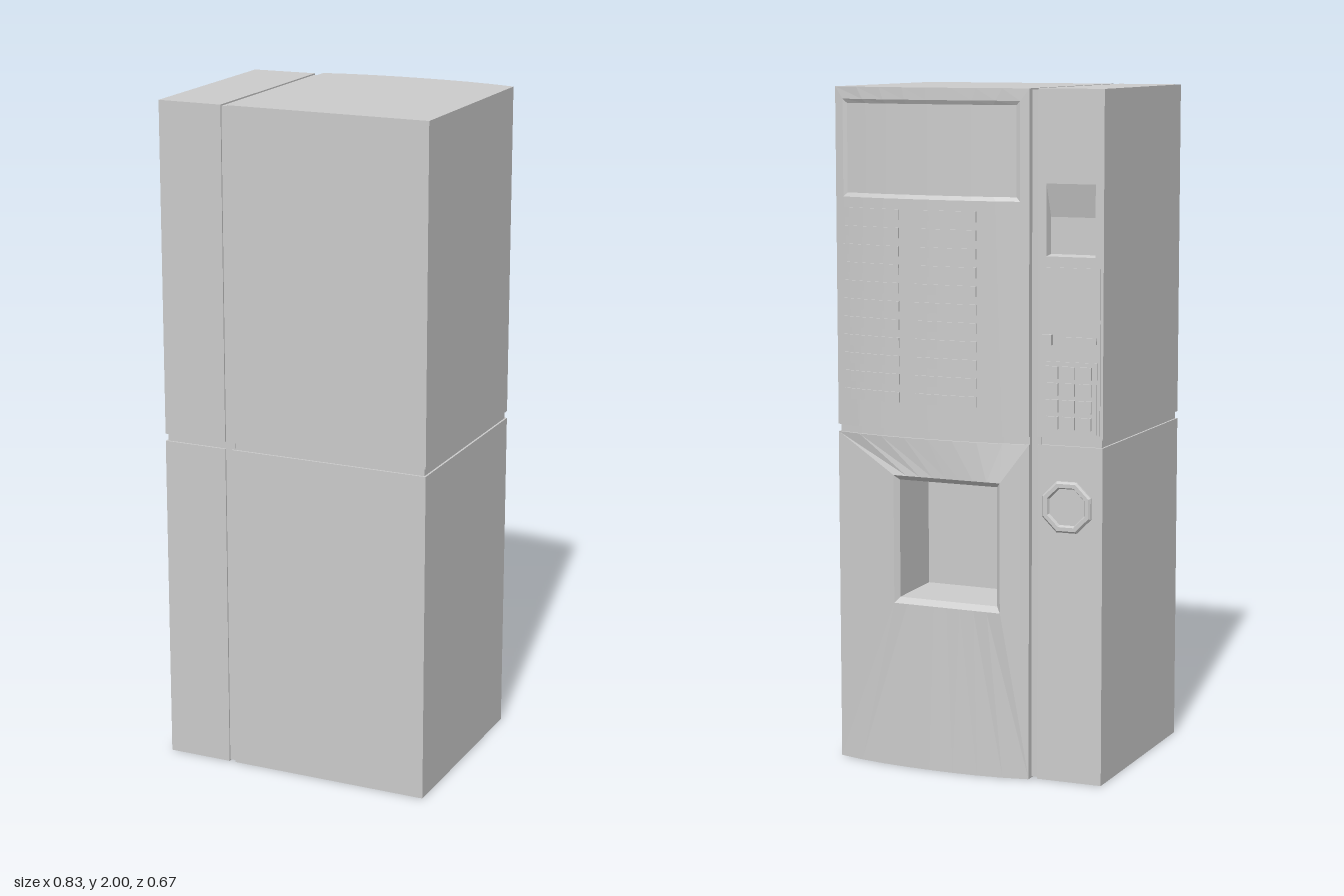
import * as THREE from 'three';

const BACK = 0.337;          // flat rear plane
const N = 8;                 // facets across the curved door
const mat = new THREE.MeshStandardMaterial({ color: 0xcccccc, flatShading: true });

// Door curve (bulges toward -z) and the slightly slanted side column
const doorZ = x => -0.333 + 0.033 * Math.pow(Math.min(1, Math.abs((x - 0.1085) / 0.3065)), 2.4);
const columnZ = x => -0.276 - 0.04 * (x + 0.415);

// Rectangular loop whose depth follows zf(x): bottom edge left to right, then top edge back
function ring(x0, x1, y0, y1, zf) {
  const z = typeof zf === 'function' ? zf : () => zf;
  const pts = [];
  for (let i = 0; i <= N; i++) { const x = x0 + (x1 - x0) * i / N; pts.push([x, y0, z(x)]); }
  for (let i = N; i >= 0; i--) { const x = x0 + (x1 - x0) * i / N; pts.push([x, y1, z(x)]); }
  return pts;
}

// Skin a series of loops running from the back (+z) to the front, capped at both ends
function loft(name, rings) {
  const v = [];
  const quad = (a, b, c, d) => v.push(...a, ...b, ...c, ...a, ...c, ...d);
  const n = 2 * N + 2;
  for (let r = 0; r < rings.length - 1; r++) {
    const a = rings[r], b = rings[r + 1];
    for (let i = 0; i < n; i++) { const j = (i + 1) % n; quad(a[i], b[i], b[j], a[j]); }
  }
  const first = rings[0], last = rings[rings.length - 1];
  for (let i = 0; i < N; i++) {
    const t = n - 1 - i;
    quad(first[i], first[i + 1], first[t - 1], first[t]);
    quad(last[i], last[t], last[t - 1], last[i + 1]);
  }
  const g = new THREE.BufferGeometry();
  g.setAttribute('position', new THREE.Float32BufferAttribute(v, 3));
  g.computeVertexNormals();
  return named(name, g);
}

function named(name, geometry) {
  const m = new THREE.Mesh(geometry, mat);
  m.name = name;
  return m;
}

function box(name, w, h, d, x, y, z) {
  const m = named(name, new THREE.BoxGeometry(w, h, d));
  m.position.set(x, y, z);
  return m;
}

export function createModel() {
  const root = new THREE.Group();
  root.name = 'vendingMachine';
  const xa = -0.198, xb = 0.415, ca = -0.415, cb = -0.218;
  const lowTop = 0.99, upBase = 1.012;

  // Upper cabinet with a bevelled, shallow display recess
  root.add(loft('upperCabinet', [
    ring(xa, xb, upBase, 2, BACK),
    ring(xa, xb, upBase, 2, doorZ),
    ring(-0.172, 0.388, 1.683, 1.965, doorZ),
    ring(-0.160, 0.376, 1.695, 1.953, x => doorZ(x) + 0.007),
  ]));

  // Lower cabinet: curved door blending into a flat frame and the cup bay
  root.add(loft('lowerCabinet', [
    ring(xa, xb, 0, lowTop, BACK),
    ring(xa, xb, 0, lowTop, doorZ),
    ring(-0.120, 0.220, 0.495, 0.877, -0.331),
    ring(-0.106, 0.206, 0.512, 0.863, -0.318),
    ring(-0.106, 0.206, 0.516, 0.863, -0.125),
  ]));

  // Side column: the upper part holds a pocket with a sloping roof
  root.add(loft('upperColumn', [
    ring(ca, cb, upBase, 2, BACK),
    ring(ca, cb, upBase, 2, columnZ),
    ring(-0.390, -0.243, 1.53, 1.735, columnZ),
    ring(-0.386, -0.247, 1.535, 1.64, x => columnZ(x) + 0.025),
  ]));
  root.add(loft('lowerColumn', [
    ring(ca, cb, 0, lowTop, BACK),
    ring(ca, cb, 0, lowTop, columnZ),
  ]));

  // Recessed core seen inside the seams
  root.add(box('verticalSeam', 0.04, 1.992, 0.611, -0.208, 1, 0.0265));
  root.add(loft('doorSeam', [
    ring(xa, xb - 0.006, 0.98, 1.02, BACK - 0.006),
    ring(xa, xb - 0.006, 0.98, 1.02, x => doorZ(x) + 0.008),
  ]));
  root.add(loft('columnSeam', [
    ring(ca + 0.006, cb, 0.98, 1.02, BACK - 0.006),
    ring(ca + 0.006, cb, 0.98, 1.02, x => columnZ(x) + 0.008),
  ]));

  // Two columns of selection bars
  const buttons = new THREE.Group();
  buttons.name = 'selectionButtons';
  for (const [x0, x1] of [[0.197, 0.388], [-0.046, 0.146]]) {
    for (let row = 0; row < 11; row++) {
      const y = 1.638 - row * 0.053;
      buttons.add(loft('selectionButton', [
        ring(x0, x1, y - 0.015, y + 0.015, x => doorZ(x) + 0.008),
        ring(x0, x1, y - 0.015, y + 0.015, x => doorZ(x) - 0.005),
      ]));
    }
  }
  root.add(buttons);

  // Column fittings, in a frame whose +z points out of the slanted face
  const fittings = new THREE.Group();
  fittings.name = 'columnFittings';
  fittings.position.set(-0.315, 0, columnZ(-0.315));
  fittings.rotation.y = Math.PI + 0.04;
  fittings.add(box('paymentPanel', 0.184, 0.475, 0.008, 0, 1.262, 0));
  fittings.add(box('coinButton', 0.028, 0.03, 0.022, -0.064, 1.295, 0.008));
  fittings.add(box('cardSlot', 0.105, 0.018, 0.012, 0.03, 1.295, 0.004));
  fittings.add(box('keypadPlate', 0.168, 0.205, 0.01, 0, 1.13, 0.003));
  for (let r = 0; r < 4; r++)
    for (let c = 0; c < 3; c++)
      fittings.add(box('key', 0.038, 0.036, 0.014, (c - 1) * 0.05, 1.202 - r * 0.048, 0.008));

  // Eight-sided coin return ring with a sunken centre
  const profile = [[0.08, -0.005], [0.08, 0.008], [0.074, 0.014], [0.062, 0.014], [0.057, 0.004], [0, 0.004]]
    .map(p => new THREE.Vector2(...p));
  const coin = named('coinReturn', new THREE.LatheGeometry(profile, 8));
  coin.rotation.set(Math.PI / 2, Math.PI / 8, 0);
  coin.position.set(-0.006, 0.814, 0);
  coin.material = mat.clone();
  coin.material.side = THREE.DoubleSide;
  fittings.add(coin);
  root.add(fittings);

  return root;
}
